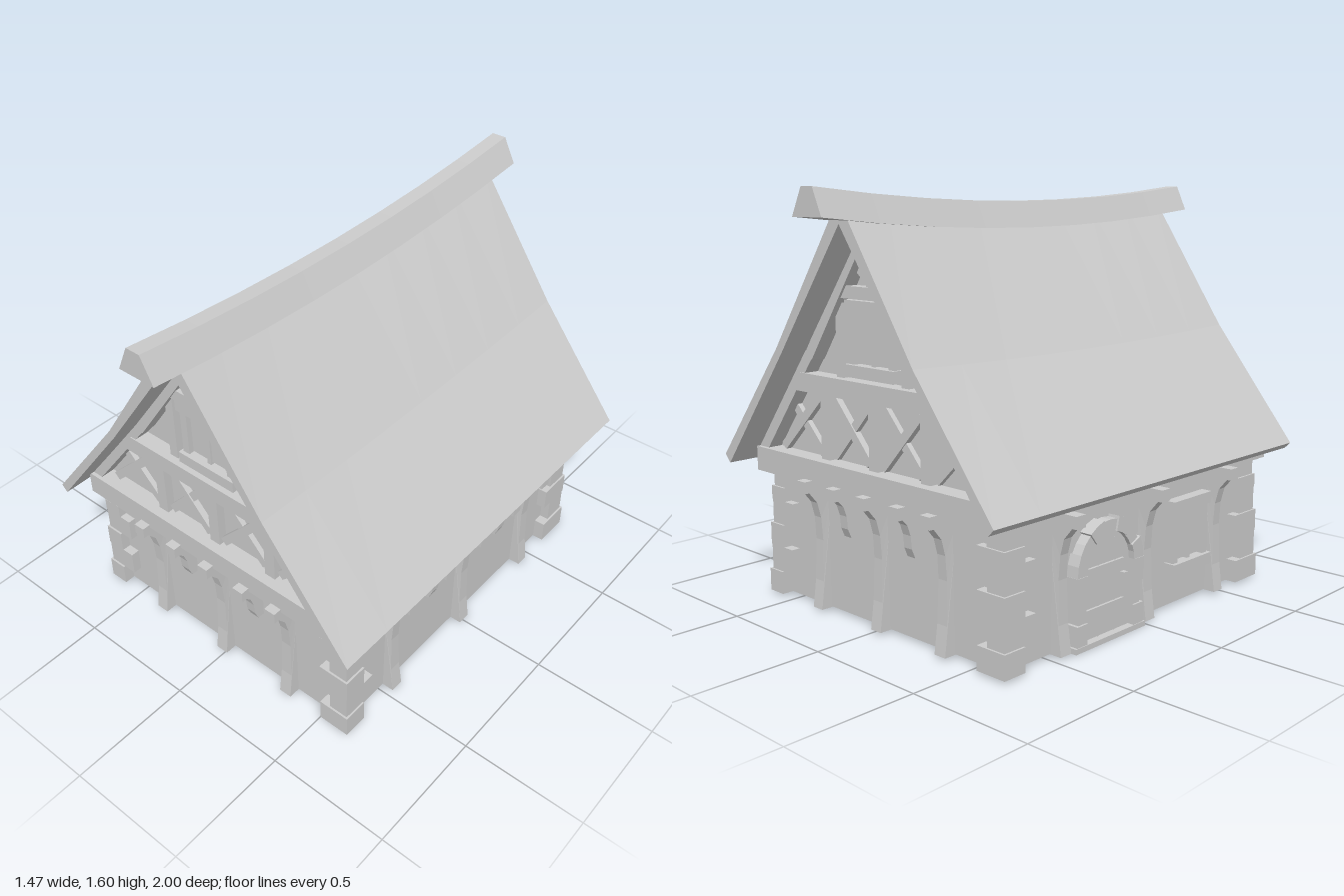
import * as THREE from 'three';

const mat = new THREE.MeshStandardMaterial({ color: 0xcccccc, flatShading: true, side: THREE.DoubleSide });
const CX = -0.015, HX = 0.605, HZ = 0.705; // wall centre and half sizes

function add(parent, geo, name) {
  const m = new THREE.Mesh(geo, mat);
  m.name = name;
  parent.add(m);
  return m;
}

// box given by its min and max corners
function box(parent, name, x0, x1, y0, y1, z0, z1) {
  const g = new THREE.BoxGeometry(x1 - x0, y1 - y0, z1 - z0);
  g.translate((x0 + x1) / 2, (y0 + y1) / 2, (z0 + z1) / 2);
  return add(parent, g, name);
}

// straight timber between two points of a wall face
function bar(parent, name, x1, y1, x2, y2, w, z0, z1) {
  const g = new THREE.BoxGeometry(Math.hypot(x2 - x1, y2 - y1), w, z1 - z0);
  g.rotateZ(Math.atan2(y2 - y1, x2 - x1));
  g.translate((x1 + x2) / 2, (y1 + y2) / 2, (z0 + z1) / 2);
  return add(parent, g, name);
}

const shapeOf = pts => new THREE.Shape(pts.map(p => new THREE.Vector2(...p)));

function prism(pts, z0, z1, steps = 1) {
  const g = new THREE.ExtrudeGeometry(shapeOf(pts), { depth: z1 - z0, steps, bevelEnabled: false });
  return g.translate(0, 0, z0);
}

// move every vertex by a rule
function warp(g, rule) {
  const p = g.attributes.position, v = new THREE.Vector3();
  for (let i = 0; i < p.count; i++) {
    rule(v.fromBufferAttribute(p, i));
    p.setXYZ(i, v.x, v.y, v.z);
  }
  g.computeVertexNormals();
  return g;
}

// curved wall post (tall) or corbel (short) with the beam end it carries
function bracket(wall, u, tall) {
  const pts = tall
    ? [[-0.02, 0.01], [0.048, 0.01], [0.035, 0.12], [0.03, 0.28], [0.036, 0.37], [0.052, 0.43], [0.09, 0.476], [-0.02, 0.476]]
    : [[-0.02, 0.32], [0.03, 0.325], [0.045, 0.36], [0.05, 0.41], [0.064, 0.45], [0.09, 0.476], [-0.02, 0.476]];
  const g = prism(pts, -0.02, 0.02);
  g.rotateY(-Math.PI / 2);
  warp(g, v => { v.x *= tall ? 1.35 - 0.35 * Math.min(1, v.y / 0.35) : 1; });
  g.translate(u, 0, 0);
  add(wall, g, tall ? 'wallPost' : 'corbel');
  box(wall, 'beamEnd', u - 0.024, u + 0.024, 0.475, 0.52, -0.02, 0.11);
}

// framed window with two shutters, standing on face z
function windowUnit(parent, cx, y0, y1, w, z) {
  const g = new THREE.Group();
  g.name = 'window';
  parent.add(g);
  const h = w / 2, t = 0.045;
  box(g, 'windowBack', cx - h + 0.02, cx + h - 0.02, y0 + 0.02, y1 - 0.02, z - 0.01, z + 0.008);
  for (const s of [-1, 1]) {
    bar(g, 'windowJamb', cx + s * (h - 0.025), y0 + t, cx + s * (h - 0.025), y1 - t, 0.03, z, z + 0.035);
    const c = cx + s * (h - 0.04) / 2;
    box(g, 'shutter', c - h * 0.3, c + h * 0.3, y0 + t + 0.01, y1 - t, z, z + 0.02);
  }
  bar(g, 'windowMullion', cx, y0 + t, cx, y1 - t, 0.018, z, z + 0.028);
  box(g, 'windowSill', cx - h, cx + h, y0, y0 + t, z, z + 0.05);
  box(g, 'windowHead', cx - h, cx + h, y1 - t, y1, z, z + 0.045);
}

// arched door with stone surround and iron straps
function door(wall, cx) {
  const g = new THREE.Group();
  g.name = 'door';
  g.position.x = cx;
  wall.add(g);
  const r = 0.13, R = 0.18, spring = 0.27;
  const leaf = new THREE.Shape();
  leaf.moveTo(-r, 0.02);
  leaf.lineTo(r, 0.02);
  leaf.lineTo(r, spring);
  leaf.absarc(0, spring, r, 0, Math.PI, false);
  leaf.closePath();
  add(g, new THREE.ExtrudeGeometry(leaf, { depth: 0.025, bevelEnabled: false, curveSegments: 10 }), 'doorLeaf');
  for (const y of [0.12, 0.27]) box(g, 'doorStrap', -r, r * 0.7, y - 0.013, y + 0.013, 0.02, 0.035);
  for (const x of [-0.045, 0.045]) box(g, 'plankSeam', x - 0.003, x + 0.003, 0.02, 0.37, 0.02, 0.028);
  box(g, 'doorHandle', 0.08, 0.1, 0.19, 0.23, 0.02, 0.045);
  for (const s of [-1, 1]) {
    for (let i = 0; i < 3; i++) {
      const out = R + (i % 2 ? -0.008 : 0.005), y = 0.01 + i * 0.0867;
      box(g, 'jambStone', Math.min(s * r, s * out), Math.max(s * r, s * out), y, y + 0.0867, -0.01, i % 2 ? 0.044 : 0.052);
    }
  }
  const n = 7;
  for (let i = 0; i < n; i++) {
    const a = i * Math.PI / n, b = (i + 1) * Math.PI / n, q = i % 2 ? R - 0.006 : R + 0.004;
    const pt = (rad, t) => [rad * Math.cos(t), spring + rad * Math.sin(t)];
    add(g, prism([pt(r, a), pt(q, a), pt(q, (a + b) / 2), pt(q, b), pt(r, b), pt(r, (a + b) / 2)], -0.01, i % 2 ? 0.042 : 0.05), 'archStone');
  }
  box(g, 'doorStep', -0.195, 0.195, 0, 0.02, -0.02, 0.055);
}

// half-timbered gable, local z = 0 on the wall face
function gable(parent, sign) {
  const g = new THREE.Group();
  g.name = sign > 0 ? 'frontGable' : 'backGable';
  g.position.set(-0.008, 0, sign * HZ);
  if (sign < 0) g.rotation.y = Math.PI;
  parent.add(g);
  add(g, prism([[-0.65, 0.5], [0.65, 0.5], [0.65, 0.61], [0.345, 1.0], [0, 1.47], [-0.345, 1.0], [-0.65, 0.61]], -0.03, 0), 'gableWall');
  box(g, 'sillBeam', -0.66, 0.66, 0.505, 0.6, -0.04, 0.075);
  add(g, prism([[-0.435, 0.85], [0.435, 0.85], [0.38, 0.92], [-0.38, 0.92]], -0.01, 0.065), 'tieBeam');
  add(g, prism([[-0.185, 1.21], [0.185, 1.21], [0.155, 1.255], [-0.155, 1.255]], -0.01, 0.05), 'collarBeam');
  for (const x of [-0.275, 0, 0.275]) bar(g, 'stud', x, 0.6, x, 0.85, 0.048, -0.01, 0.035);
  for (const s of [-1, 1]) {
    bar(g, 'rafter', s * 0.65, 0.575, s * 0.33, 0.99, 0.045, -0.01, 0.06);
    bar(g, 'rafter', s * 0.33, 0.985, s * 0.005, 1.45, 0.045, -0.01, 0.06);
    // crossed braces of the inner and outer bays
    bar(g, 'brace', s * 0.035, 0.615, s * 0.24, 0.835, 0.035, -0.01, 0.025);
    bar(g, 'brace', s * 0.24, 0.615, s * 0.035, 0.835, 0.035, -0.01, 0.02);
    bar(g, 'brace', s * 0.55, 0.61, s * 0.31, 0.84, 0.035, -0.01, 0.025);
    bar(g, 'brace', s * 0.49, 0.79, s * 0.31, 0.615, 0.035, -0.01, 0.02);
    // upper studs and apex struts
    bar(g, 'upperStud', s * 0.177, 0.92, s * 0.177, 1.21, 0.038, -0.01, 0.035);
    bar(g, 'apexStrut', s * 0.015, 1.265, s * 0.1, 1.335, 0.028, -0.01, 0.025);
  }
  bar(g, 'kingPost', 0, 1.25, 0, 1.44, 0.042, -0.01, 0.035);
  windowUnit(g, 0, 0.93, 1.205, 0.265, 0);
}

export function createModel() {
  const house = new THREE.Group();
  house.name = 'house';

  // hollow wall ring
  const ring = shapeOf([[-HX, -HZ], [HX, -HZ], [HX, HZ], [-HX, HZ]]);
  const ix = HX - 0.025, iz = HZ - 0.025;
  ring.holes.push(new THREE.Path([[-ix, -iz], [-ix, iz], [ix, iz], [ix, -iz]].map(p => new THREE.Vector2(...p))));
  const rg = new THREE.ExtrudeGeometry(ring, { depth: 0.51, bevelEnabled: false });
  rg.rotateX(-Math.PI / 2).translate(CX, 0.012, 0);
  add(house, rg, 'walls');

  // corner stones in courses of alternating length
  const courses = [0.01, 0.1, 0.2, 0.29, 0.385, 0.44, 0.505];
  for (const sx of [-1, 1]) for (const sz of [-1, 1]) for (let i = 0; i < 6; i++) {
    const long = (i + (sx * sz > 0 ? 0 : 1)) % 2 === 0, out = 0.045 - i * 0.003 - (i % 2) * 0.005;
    const lx = long ? 0.13 : 0.08, lz = long ? 0.1 : 0.15;
    const m = box(house, 'cornerStone', -lx / 2, lx / 2, courses[i], courses[i + 1], -lz / 2, lz / 2);
    m.position.set(CX + sx * (HX + out - lx / 2), 0, sz * (HZ + out - lz / 2));
  }

  // posts and corbels; each wall faces its own local +z
  const walls = [
    ['frontWall', 0, CX, HZ, [-0.34, 0.003, 0.343], [-0.168, 0.184]],
    ['backWall', Math.PI, CX, -HZ, [-0.34, 0.003, 0.343], [-0.168, 0.184]],
    ['leftWall', Math.PI / 2, CX + HX, 0, [-0.45, 0, 0.435], [-0.225, 0.225]],
    ['rightWall', -Math.PI / 2, CX - HX, 0, [-0.45, 0.025, 0.47], []],
  ];
  for (const [name, turn, x, z, tall, short] of walls) {
    const w = new THREE.Group();
    w.name = name;
    w.position.set(x, 0, z);
    w.rotation.y = turn;
    house.add(w);
    tall.forEach(u => bracket(w, u, true));
    short.forEach(u => bracket(w, u, false));
    if (name === 'rightWall') {
      door(w, -0.21);
      windowUnit(w, 0.29, 0.14, 0.43, 0.24, 0);
    }
  }

  // wall plates under the eaves
  for (const s of [-1, 1]) {
    const x = CX + s * 0.62;
    box(house, 'wallPlate', x - 0.035, x + 0.035, 0.505, 0.585, -0.74, 0.74);
  }
  gable(house, 1);
  gable(house, -1);

  // roof slab, sagging toward the middle of the ridge
  const roof = prism([[-0.735, 0.56], [-0.71, 0.535], [-0.35, 1.0], [-0.01, 1.475], [0.345, 1.0], [0.705, 0.54],
    [0.735, 0.57], [0.372, 1.02], [-0.01, 1.56], [-0.372, 1.02]], -0.87, 0.87, 8);
  warp(roof, v => { v.y -= 0.04 * (1 - (v.z / 0.87) ** 2) * Math.max(0, (v.y - 0.6) / 0.96); });
  add(house, roof, 'roof');

  // ridge beam rising at both ends
  const ridge = prism([[-0.088, 1.445], [0.07, 1.445], [0.018, 1.545], [-0.042, 1.545]], -1, 1, 8);
  warp(ridge, v => { v.y += 0.055 * v.z * v.z; });
  add(house, ridge, 'ridgeBeam');

  return house;
}
